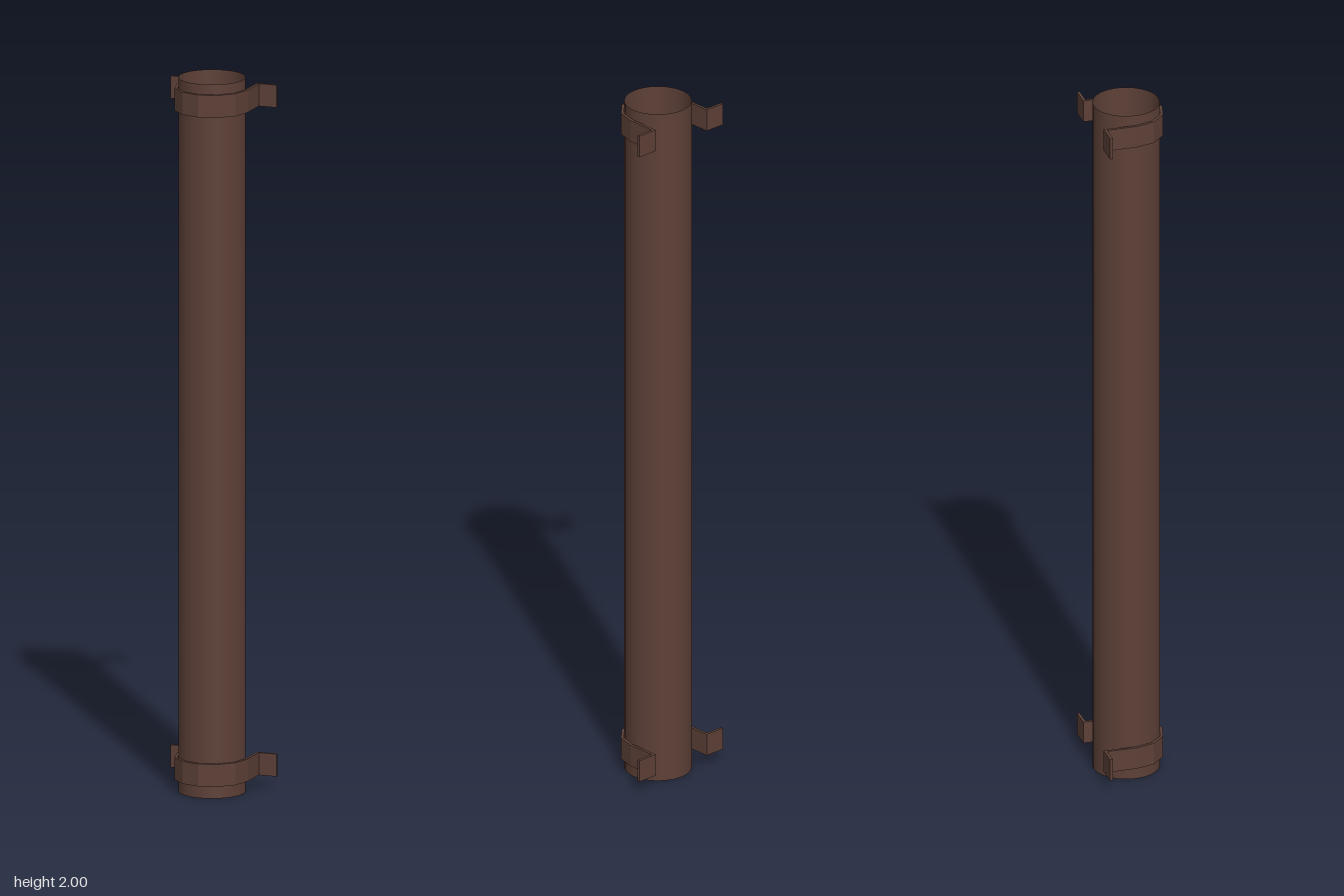
import * as THREE from 'three';

const CENTRE_Z = -0.0055; // pipe axis
const BACK_Z = -0.0985; // wall side of the brackets

// Outline of one bracket seen from above (shape y = -z)
function bracketShape(outer, inner, reach, thickness) {
  const points = [];
  const arc = (radius, from, to) => {
    const step = Math.sign(to - from);
    for (let i = from; i !== to + step; i += step) {
      const a = (i * Math.PI) / 6;
      points.push([radius * Math.cos(a), CENTRE_Z + radius * Math.sin(a)]);
    }
  };
  points.push([inner, BACK_Z]);
  points.push([reach, BACK_Z], [reach, BACK_Z + thickness], [outer, BACK_Z + thickness]);
  arc(outer, 0, 6);
  points.push([-outer, BACK_Z + thickness], [-reach, BACK_Z + thickness], [-reach, BACK_Z]);
  points.push([-inner, BACK_Z]);
  arc(inner, 6, 0);
  return new THREE.Shape(points.map(([x, z]) => new THREE.Vector2(x, -z)));
}

export function createModel() {
  const group = new THREE.Group();
  const brown = new THREE.MeshStandardMaterial({ color: 0x5d4037, side: THREE.DoubleSide });
  brown.name = 'brown';

  // Open, hollow pipe
  const pipe = new THREE.Mesh(new THREE.CylinderGeometry(0.0925, 0.0925, 2, 24, 1, true), brown);
  pipe.name = 'pipe';
  pipe.position.set(0, 1, CENTRE_Z);
  group.add(pipe);

  // Wall brackets wrapped round the front of the pipe
  const strap = new THREE.ExtrudeGeometry(bracketShape(0.1035, 0.0955, 0.156, 0.008), {
    depth: 0.063,
    bevelEnabled: false,
  });
  strap.rotateX(-Math.PI / 2);
  for (const [name, y] of [['lowerBracket', 0.035], ['upperBracket', 1.909]]) {
    const bracket = new THREE.Mesh(strap, brown);
    bracket.name = name;
    bracket.position.y = y;
    group.add(bracket);
  }
  return group;
}
